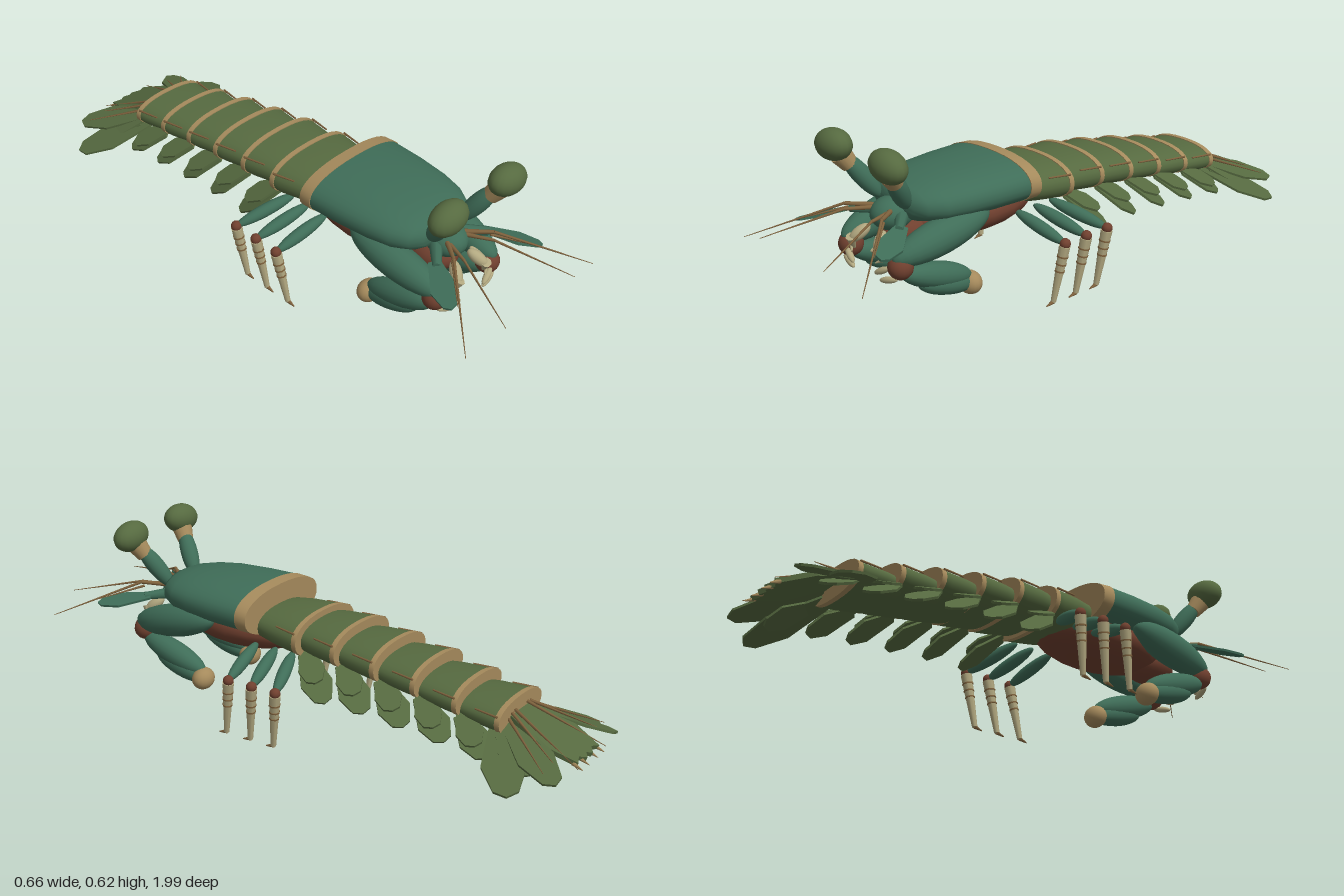
import * as THREE from 'three';
import { toCreasedNormals } from 'three/addons/utils/BufferGeometryUtils.js';

const mat = (name, color) => Object.assign(new THREE.MeshStandardMaterial({ color }), { name });
const V = (x, y, z) => new THREE.Vector3(x, y, z);

export function createModel() {
  const root = new THREE.Group();
  const teal = mat('teal shell', 0x3f6d58), olive = mat('olive shell', 0x566a40);
  const tan = mat('tan trim', 0xa58a5c), cream = mat('cream claw', 0xb2a880);
  const red = mat('dark red joint', 0x70402f), brown = mat('brown spine', 0x80633e);

  const add = (name, geo, material, parent = root) => {
    const m = new THREE.Mesh(geo, material);
    m.name = name;
    parent.add(m);
    return m;
  };
  const group = (name) => {
    const g = new THREE.Group();
    g.name = name;
    root.add(g);
    return g;
  };

  // Closed skin through oval sections [z, centreY, halfWidth, halfHeight], front to back
  const loft = (sections, n = 28, power = 2.3) => {
    const pos = [], idx = [];
    const p = (v) => Math.sign(v) * Math.pow(Math.abs(v), 2 / power);
    for (const [z, cy, rx, ry] of sections)
      for (let i = 0; i < n; i++) {
        const a = (i / n) * Math.PI * 2;
        pos.push(rx * p(Math.cos(a)), cy + ry * p(Math.sin(a)), z);
      }
    for (let k = 0; k < sections.length - 1; k++)
      for (let i = 0; i < n; i++) {
        const a = k * n + i, b = k * n + (i + 1) % n;
        idx.push(a, a + n, b, b, a + n, b + n);
      }
    const last = (sections.length - 1) * n;
    for (let i = 1; i < n - 1; i++) idx.push(0, i, i + 1, last, last + i + 1, last + i);
    const g = new THREE.BufferGeometry();
    g.setAttribute('position', new THREE.Float32BufferAttribute(pos, 3));
    g.setIndex(idx);
    return toCreasedNormals(g, 0.7);
  };

  const between = (mesh, a, b) => {
    mesh.position.copy(a).lerp(b, 0.5);
    mesh.quaternion.setFromUnitVectors(V(0, 1, 0), b.clone().sub(a).normalize());
    return mesh;
  };
  const rod = (name, a, b, r0, r1, m, parent, n = 8) =>
    between(add(name, new THREE.CylinderGeometry(r1, r0, a.distanceTo(b), n), m, parent), a, b);
  const oval = (name, a, b, r, m, parent) => {
    const g = new THREE.SphereGeometry(1, 18, 14).scale(r, a.distanceTo(b) / 2, r);
    return between(add(name, g, m, parent), a, b);
  };
  const ball = (name, c, r, m, parent, sx = 1, sy = 1, sz = 1) => {
    const o = add(name, new THREE.SphereGeometry(r, 18, 14).scale(sx, sy, sz), m, parent);
    o.position.copy(c);
    return o;
  };
  // Thin six-cornered blade from a to b
  const blade = (name, a, b, w, tip, side, m, parent) => {
    const l = a.distanceTo(b), h = w / 2;
    const s = new THREE.Shape([[-h * 0.45, 0], [h * 0.45, 0], [h, l * 0.6], [h * tip, l * 0.93],
      [0, l], [-h * tip, l * 0.93], [-h, l * 0.6]].map(([x, y]) => new THREE.Vector2(x, y)));
    const g = new THREE.ExtrudeGeometry(s, { depth: 0.008, bevelEnabled: false }).translate(0, 0, -0.004);
    const y = b.clone().sub(a).normalize();
    const z = side.clone().cross(y).normalize();
    const x = y.clone().cross(z);
    const o = add(name, g, m, parent);
    o.quaternion.setFromRotationMatrix(new THREE.Matrix4().makeBasis(x, y, z));
    o.position.copy(a);
  };

  // Carapace, rear band, belly and head
  add('carapace', loft([[0.622, 0.39, 0.05, 0.02], [0.612, 0.388, 0.10, 0.042], [0.585, 0.386, 0.14, 0.056],
    [0.53, 0.385, 0.172, 0.068], [0.45, 0.386, 0.19, 0.076], [0.34, 0.386, 0.202, 0.079],
    [0.222, 0.385, 0.208, 0.079], [0.185, 0.385, 0.208, 0.077]], 36), teal);
  add('carapaceBand', loft([[0.225, 0.385, 0.211, 0.081], [0.18, 0.383, 0.21, 0.079]], 36), tan);
  ball('belly', V(0, 0.3, 0.32), 1, red, root, 0.145, 0.08, 0.26);
  ball('mouthBase', V(0, 0.28, 0.56), 1, red, root, 0.075, 0.06, 0.1);
  ball('head', V(0, 0.352, 0.62), 1, teal, root, 0.066, 0.054, 0.072);

  // Tail segments flare to the rear and end in a tan rim
  const topY = [0.402, 0.388, 0.363, 0.335, 0.303, 0.272];
  topY.forEach((t, i) => {
    const g = group('tailSegment' + (i + 1));
    const z = 0.005 - i * 0.148, rx = 0.174 - i * 0.006, ry = 0.07 - i * 0.004, cy = t - ry;
    add('shell', loft([[z + 0.18, cy + 0.007, rx * 0.8, ry * 0.78], [z + 0.11, cy + 0.004, rx * 0.9, ry * 0.93],
      [z + 0.04, cy, rx * 0.97, ry], [z, cy, rx, ry]]), olive, g);
    add('rim', loft([[z + 0.014, cy, rx + 0.001, ry + 0.003], [z - 0.004, cy, rx + 0.002, ry + 0.003]]), tan, g);
    for (const s of [-1, 1]) {
      rod('sideKeel', V(s * rx * 0.87, cy + ry * 0.55, z + 0.09), V(s * rx * 0.96, cy + ry * 0.48, z + 0.006),
        0.003, 0.004, brown, g, 5);
      // swimming paddles under the segment
      const pz = z - 0.025;
      blade('swimPaddle', V(s * 0.12, cy - ry * 0.7, pz + 0.02), V(s * (0.195 - i * 0.002), cy - ry - 0.1 + i * 0.007, pz - 0.11),
        0.11, 0.55, V(1, -s * 0.35, s * 0.5), olive, g);
      blade('sidePaddle', V(s * 0.11, cy - ry * 0.5, pz + 0.02), V(s * 0.2, cy - ry - 0.035, pz - 0.075),
        0.09, 0.6, V(1, -s * 0.35, s * 0.6), olive, g);
    }
  });

  // Tail fan with spines along its blades
  const fan = group('tailFan');
  const telson = new THREE.Shape([[-0.07, 0], [0.07, 0], [0.11, 0.13], [0.075, 0.255], [0.045, 0.24], [0.02, 0.26],
    [0, 0.245], [-0.02, 0.26], [-0.045, 0.24], [-0.075, 0.255], [-0.11, 0.13]].map(([x, y]) => new THREE.Vector2(x, y)));
  const plate = add('telson', new THREE.ExtrudeGeometry(telson, { depth: 0.016, bevelEnabled: false }), olive, fan);
  plate.position.set(0, 0.215, -0.735);
  plate.rotation.x = -Math.PI / 2 - 0.38;
  for (const s of [-1, 1]) {
    const side = V(1, -s * 0.25, s * 0.6);
    blade('innerTailBlade', V(s * 0.07, 0.21, -0.73), V(s * 0.225, 0.12, -0.975), 0.12, 0.55, side, olive, fan);
    blade('outerTailBlade', V(s * 0.08, 0.2, -0.71), V(s * 0.325, 0.092, -0.865), 0.14, 0.55, side, olive, fan);
    rod('fanSpine', V(s * 0.08, 0.222, -0.74), V(s * 0.22, 0.145, -0.93), 0.006, 0.001, brown, fan, 5);
    rod('fanSpine', V(s * 0.06, 0.235, -0.74), V(s * 0.16, 0.15, -0.94), 0.006, 0.001, brown, fan, 5);
    rod('fanSpine', V(s * 0.04, 0.24, -0.74), V(s * 0.1, 0.125, -0.99), 0.006, 0.001, brown, fan, 5);
    for (const x of [0.03, 0.075])
      rod('edgeSpine', V(s * x, 0.13, -0.96), V(s * x * 1.05, 0.115, -0.995), 0.008, 0.001, tan, fan, 5);
  }

  for (const s of [-1, 1]) {
    const P = (x, y, z) => V(s * x, y, z);
    const word = s > 0 ? 'left' : 'right';

    // Stalked eye
    const eye = group(word + 'Eye');
    oval('eyeStalk', P(0.064, 0.385, 0.61), P(0.122, 0.535, 0.71), 0.031, teal, eye);
    rod('eyeCollar', P(0.111, 0.497, 0.69), P(0.124, 0.535, 0.715), 0.028, 0.036, tan, eye, 16);
    ball('eyeball', P(0.136, 0.567, 0.73), 1, olive, eye, 0.074, 0.052, 0.05).rotation.z = -s * 0.13;

    // Feelers and the flat scale beside them
    const feel = group(word + 'Feelers');
    rod('feelerBase', P(0.035, 0.375, 0.65), P(0.095, 0.385, 0.73), 0.009, 0.006, brown, feel);
    rod('longFeeler', P(0.095, 0.385, 0.73), P(0.305, 0.275, 0.965), 0.005, 0.001, brown, feel, 6);
    rod('feelerBase', P(0.03, 0.37, 0.65), P(0.07, 0.378, 0.75), 0.008, 0.005, brown, feel);
    rod('innerFeeler', P(0.07, 0.378, 0.75), P(0.165, 0.322, 0.995), 0.0045, 0.001, brown, feel, 6);
    rod('shortFeeler', P(0.09, 0.372, 0.72), P(0.2, 0.33, 0.84), 0.0045, 0.001, brown, feel, 6);
    rod('scaleBase', P(0.05, 0.355, 0.62), P(0.125, 0.35, 0.69), 0.022, 0.014, teal, feel);
    blade('feelerScale', P(0.115, 0.352, 0.67), P(0.217, 0.322, 0.83), 0.085, 0.5, V(1, -s * 0.3, -s * 0.6), teal, feel);

    // Folded striking arm
    const arm = group(word + 'StrikingArm');
    oval('upperArm', P(0.155, 0.335, 0.36), P(0.128, 0.255, 0.72), 0.058, teal, arm);
    ball('wrist', P(0.126, 0.23, 0.69), 0.041, red, arm);
    oval('forearm', P(0.13, 0.205, 0.69), P(0.134, 0.125, 0.42), 0.044, teal, arm);
    oval('club', P(0.135, 0.155, 0.63), P(0.136, 0.098, 0.41), 0.038, teal, arm);
    ball('clubHeel', P(0.136, 0.1, 0.425), 0.039, tan, arm, 1.15, 1, 0.95);
    oval('armSpine', P(0.11, 0.23, 0.72), P(0.054, 0.2, 0.735), 0.011, cream, arm);
    oval('armSpine', P(0.135, 0.196, 0.71), P(0.066, 0.177, 0.725), 0.011, cream, arm);

    // Small claws around the mouth
    const mouth = group(word + 'MouthClaws');
    oval('mouthClaw', P(0.035, 0.318, 0.68), P(0.068, 0.27, 0.735), 0.02, cream, mouth);
    rod('mouthClawTip', P(0.062, 0.285, 0.735), P(0.075, 0.24, 0.715), 0.017, 0.006, cream, mouth);
    oval('outerMouthClaw', P(0.07, 0.3, 0.66), P(0.09, 0.25, 0.715), 0.014, cream, mouth);
    rod('outerMouthClawTip', P(0.09, 0.255, 0.715), P(0.06, 0.235, 0.735), 0.01, 0.002, cream, mouth);

    // Three walking legs: hip z, knee z, toe z
    [[0.205, 0.175, 0.205], [0.125, 0.08, 0.105], [0.055, -0.015, 0.01]].forEach(([hz, kz, fz], i) => {
      const leg = group(word + 'WalkingLeg' + (i + 1));
      const knee = P(0.312, 0.213, kz), foot = P(0.29, 0.012, fz);
      oval('thigh', P(0.11, 0.275, hz), knee, 0.022, teal, leg);
      ball('knee', knee, 0.018, red, leg);
      rod('shin', knee.clone().lerp(foot, 0.04), foot, 0.02, 0.0095, cream, leg);
      for (const t of [0.2, 0.33, 0.45]) {
        const r = 0.022 - t * 0.0105;
        rod('shinRing', knee.clone().lerp(foot, t), knee.clone().lerp(foot, t + 0.025), r, r, brown, leg);
      }
      rod('toe', foot, P(0.29, 0.004, fz + 0.03), 0.008, 0.002, brown, leg, 6);
    });
  }
  return root;
}
